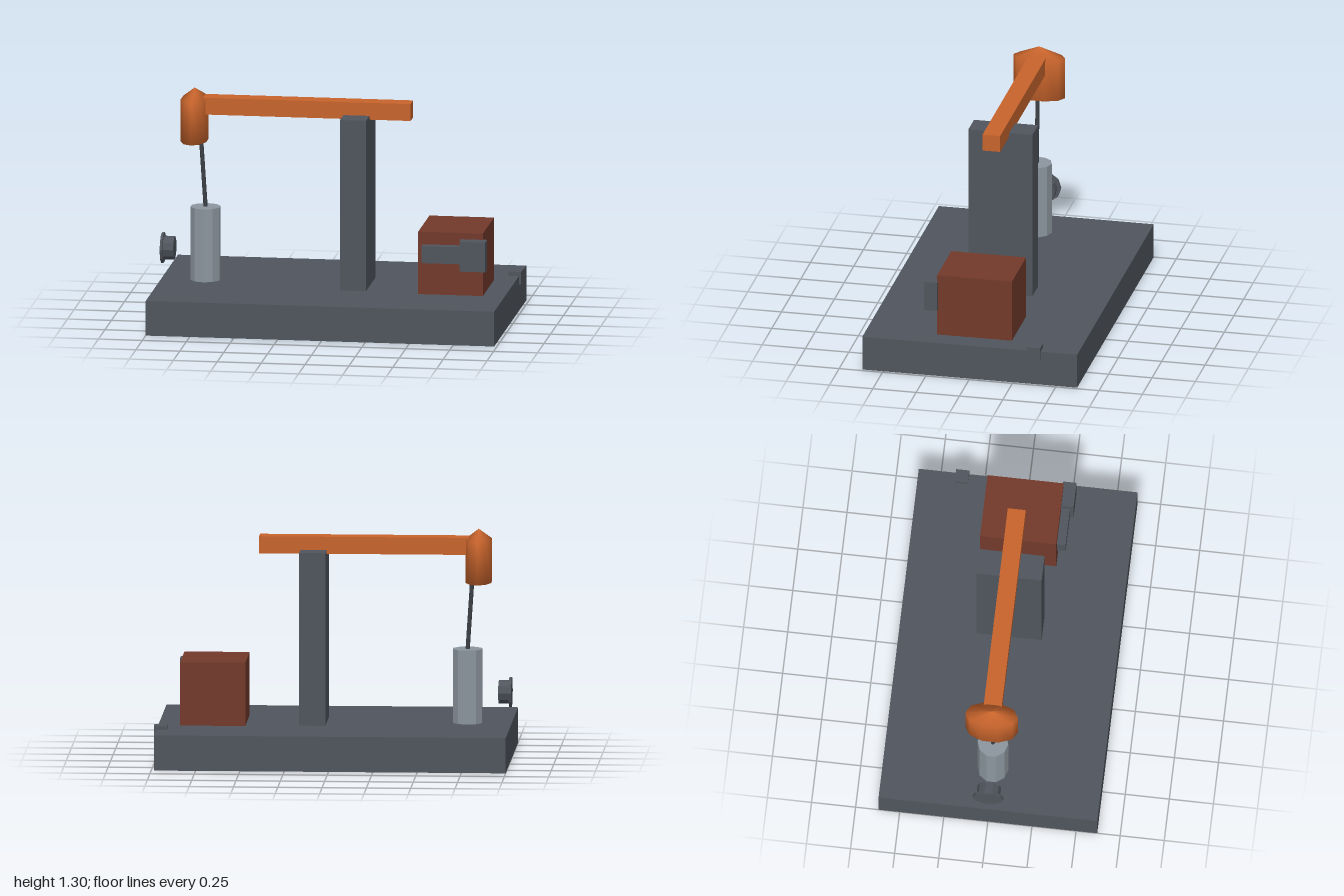
import * as THREE from 'three';

const paint = (name, color) => {
  const m = new THREE.MeshStandardMaterial({ color });
  m.name = name;
  return m;
};

export function createModel() {
  const model = new THREE.Group();
  model.name = 'pumpJack';
  const slate = paint('slate grey', 0x50555d);
  const orange = paint('orange', 0xc8642c);
  const rust = paint('rust red', 0x733a2b);
  const steel = paint('light steel', 0x8c969f);
  const iron = paint('dark iron', 0x3c4045);

  const add = (name, geometry, material) => {
    const mesh = new THREE.Mesh(geometry, material);
    mesh.name = name;
    model.add(mesh);
    return mesh;
  };
  // Box given by its limits on each axis
  const box = (name, material, [x0, x1], [y0, y1], [z0, z1]) => {
    const mesh = add(name, new THREE.BoxGeometry(x1 - x0, y1 - y0, z1 - z0), material);
    mesh.position.set((x0 + x1) / 2, (y0 + y1) / 2, (z0 + z1) / 2);
    return mesh;
  };
  // Faceted cylinder (own vertices per face give crisp sides)
  const faceted = (r, h, sides) => {
    const g = new THREE.CylinderGeometry(r, r, h, sides).toNonIndexed();
    g.computeVertexNormals();
    return g;
  };

  // Base, post and walking beam
  box('base', slate, [-1, 0.984], [0, 0.2], [-0.62, 0.62]);
  box('post', slate, [0.042, 0.19], [0.2, 1.182], [-0.185, 0.185]);
  box('beam', orange, [-0.8, 0.424], [1.16, 1.257], [-0.051, 0.051]);

  // Oval head with a low conical crown
  const profile = [[0, 0], [1, 0], [1, 0.243], [0, 0.303]].map(p => new THREE.Vector2(...p));
  const headShape = new THREE.LatheGeometry(profile, 10).scale(0.076, 1, 0.149);
  add('head', headShape, orange).position.set(-0.813, 1, 0);

  // Well cylinder and slanted rod
  add('wellCylinder', faceted(0.087, 0.42, 10), steel).position.set(-0.751, 0.41, 0);
  const from = new THREE.Vector3(-0.748, 0.58, 0);
  const to = new THREE.Vector3(-0.782, 1.1, 0);
  const rod = add('rod', faceted(0.012, from.distanceTo(to), 8), iron);
  rod.position.copy(from).add(to).multiplyScalar(0.5);
  rod.quaternion.setFromUnitVectors(new THREE.Vector3(0, 1, 0), to.clone().sub(from).normalize());

  // Engine housing with crank arm and counterweight
  box('engineHousing', rust, [0.492, 0.86], [0.2, 0.56], [-0.216, 0.216]);
  box('crankArm', slate, [0.518, 0.74], [0.39, 0.488], [0.212, 0.266]);
  box('counterweight', slate, [0.737, 0.884], [0.352, 0.524], [0.21, 0.286]);

  // Small catch on the base edge
  box('catch', slate, [0.924, 0.997], [0.153, 0.225], [-0.409, -0.335]);

  // Knob: thin flange and hub
  for (const [name, r, x0, x1] of [['knobFlange', 0.087, -1, -0.986], ['knobHub', 0.067, -0.986, -0.926]]) {
    const knob = add(name, faceted(r, x1 - x0, 10), slate);
    knob.rotation.z = Math.PI / 2;
    knob.position.set((x0 + x1) / 2, 0.375, 0);
  }
  return model;
}
